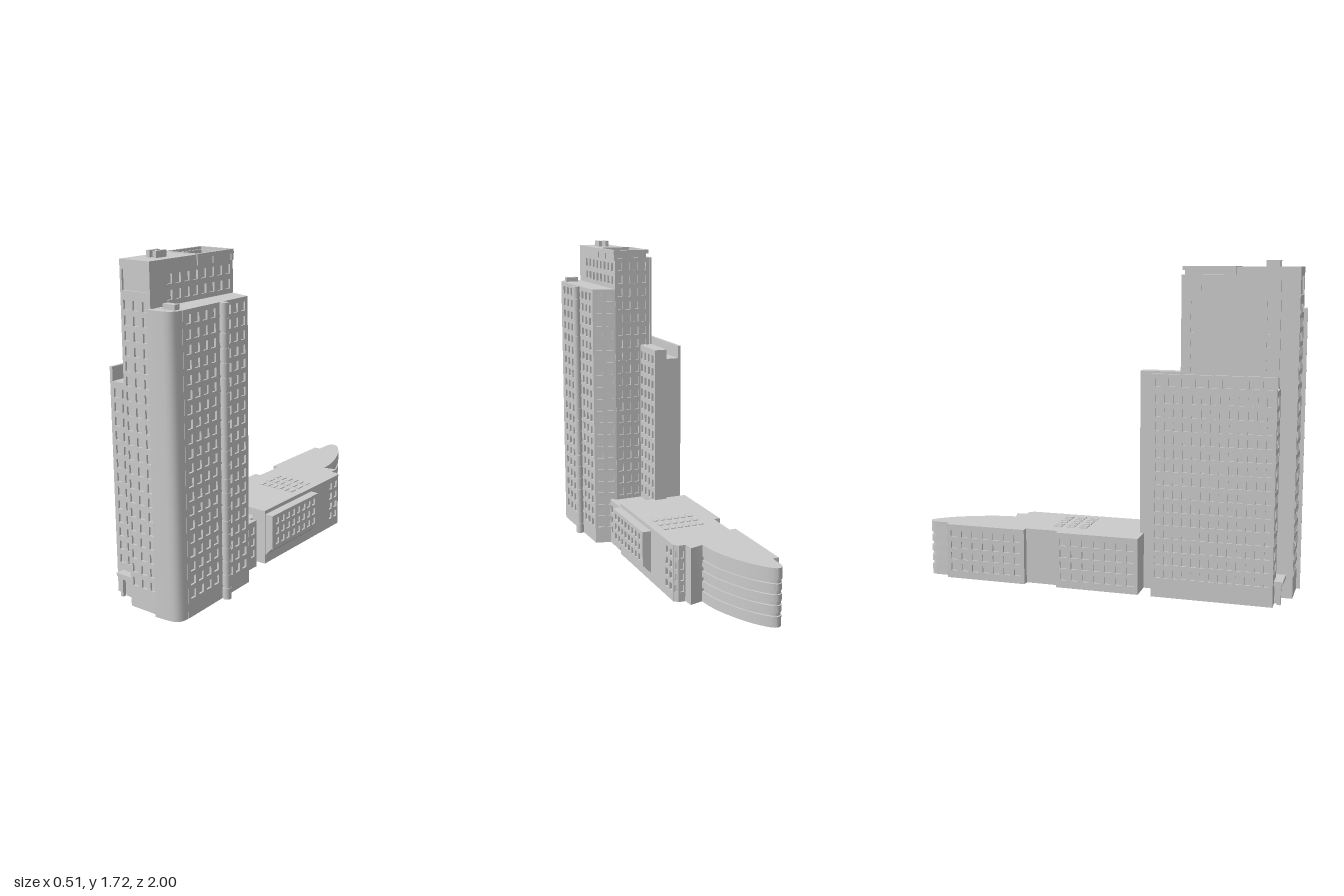
import * as THREE from 'three';
import { toCreasedNormals } from 'three/addons/utils/BufferGeometryUtils.js';

const material = new THREE.MeshStandardMaterial({ color: 0xcccccc });
const T = 0.01; // depth of the window recesses

export function createModel() {
  const model = new THREE.Group();

  function add(name, geometry) {
    const mesh = new THREE.Mesh(geometry, material);
    mesh.name = name;
    model.add(mesh);
    return mesh;
  }

  // Box given by its limits on each axis
  function block(name, x0, x1, y0, y1, z0, z1) {
    add(name, new THREE.BoxGeometry(x1 - x0, y1 - y0, z1 - z0))
      .position.set((x0 + x1) / 2, (y0 + y1) / 2, (z0 + z1) / 2);
  }

  // Upright prism over a plan outline of [x, z] points
  function prism(name, plan, y0, y1) {
    const shape = new THREE.Shape(plan.map(([x, z]) => new THREE.Vector2(x, -z)));
    const geo = new THREE.ExtrudeGeometry(shape, { depth: y1 - y0, bevelEnabled: false });
    geo.rotateX(-Math.PI / 2).translate(0, y0, 0);
    add(name, toCreasedNormals(geo, 0.5));
  }

  // Grid of window openings [x0, y0, x1, y1] in wall coordinates
  function grid(x0, x1, y0, y1, cols, rows, fw = 0.6, fh = 0.62) {
    const out = [];
    const w = (x1 - x0) / cols, h = (y1 - y0) / rows;
    for (let r = 0; r < rows; r++) {
      for (let c = 0; c < cols; c++) {
        const cx = x0 + (c + 0.5) * w, cy = y0 + (r + 0.5) * h;
        out.push([cx - w * fw / 2, cy - h * fh / 2, cx + w * fw / 2, cy + h * fh / 2]);
      }
    }
    return out;
  }

  // Pierced wall plate from plan point a to b, seen from outside with a on the left
  function facade(name, a, b, y0, y1, openings) {
    const dx = b[0] - a[0], dz = b[1] - a[1], len = Math.hypot(dx, dz);
    const rect = (Type, l, d, r, u) => new Type([[l, d], [r, d], [r, u], [l, u]].map(p => new THREE.Vector2(...p)));
    const shape = rect(THREE.Shape, 0, y0, len, y1);
    shape.holes = openings.map(o => rect(THREE.Path, ...o));
    const geo = new THREE.ExtrudeGeometry(shape, { depth: T + 0.002, bevelEnabled: false });
    geo.translate(0, 0, -T - 0.002);
    const mesh = add(name, geo);
    mesh.position.set(a[0], 0, a[1]);
    mesh.rotation.y = Math.atan2(-dz, dx);
  }

  // East tower with one rounded corner
  prism('eastTower', [[0.085, 0.40], [0.2, 0.438], [0.213, 0.9], [0.222, 0.91], [0.222, 0.945],
    [0.217, 0.962], [0.207, 0.976], [0.192, 0.986], [0.17, 0.992], [0.085, 1]], 0, 1.48);
  facade('eastTowerSideWall', [0.224, 0.92], [0.21, 0.43], 0, 1.48,
    [...grid(0.01, 0.25, 0.08, 1.47, 4, 20), ...grid(0.31, 0.48, 0.08, 1.47, 3, 20)]);
  facade('eastTowerRearWall', [0.21, 0.43], [0.088, 0.39], 0, 1.48, grid(0.005, 0.123, 0.08, 1.47, 2, 20));
  block('eastRoofBox', 0.13, 0.2, 1.48, 1.505, 0.91, 0.945);

  // Round stair column with a notch at every floor
  add('stairColumn', new THREE.CylinderGeometry(0.019, 0.019, 1.48, 20)).position.set(0.234, 0.74, 0.64);
  for (let i = 0; i < 21; i++) {
    add('stairColumnRing', new THREE.CylinderGeometry(0.022, 0.022, 0.058, 20))
      .position.set(0.234, 0.03 + i * 0.071, 0.64);
  }

  // Central tower
  block('centralTower', -0.09, 0.08, 0, 1.69, 0.66, 0.97);
  block('centralTowerRear', -0.1, 0.08, 0, 1.65, 0.40, 0.67);
  facade('centralFrontWall', [-0.09, 0.98], [0.09, 0.98], 0, 1.69,
    [...grid(0.005, 0.175, 0.1, 1.52, 3, 20), [0.012, 1.55, 0.162, 1.645]]);
  facade('centralRearWall', [0.09, 0.39], [-0.11, 0.39], 0, 1.65, grid(0.005, 0.195, 0.27, 1.64, 4, 19));
  facade('centralUpperSideWall', [0.09, 0.98], [0.09, 0.39], 1.46, 1.69,
    grid(0.1, 0.58, 1.49, 1.635, 8, 2));
  block('centralWestInfill', -0.12, -0.085, 0, 1.65, 0.40, 0.885);
  block('centralWestEdge', -0.13, -0.09, 0, 1.1, 0.39, 0.89);
  const portholes = [0.035, 0.42].flatMap(x => grid(x, x + 0.045, 1.14, 1.54, 1, 6, 0.4, 0.4));
  facade('centralWestWall', [-0.13, 0.39], [-0.13, 0.89], 1.09, 1.65, [...portholes, [0.1, 1.575, 0.33, 1.6]]);

  // Roof terrace: parapet ring on short brackets
  for (const [x0, x1, z0, z1] of [[-0.11, -0.095, 0.39, 0.66], [0.08, 0.097, 0.39, 0.66],
    [-0.11, 0.097, 0.39, 0.405], [-0.11, 0.097, 0.645, 0.66]]) {
    block('terraceParapet', x0, x1, 1.672, 1.693, z0, z1);
  }
  block('terraceInnerRim', -0.1, -0.085, 1.64, 1.68, 0.4, 0.66);
  block('terraceInnerRim', 0.07, 0.085, 1.64, 1.68, 0.4, 0.66);
  block('terraceInnerRim', -0.1, 0.085, 1.64, 1.68, 0.4, 0.415);
  for (const z of [0.398, 0.535, 0.65]) block('terraceBracket', 0.08, 0.096, 1.64, 1.675, z - 0.008, z + 0.008);
  for (const x of [-0.018, 0.022]) block('roofChimney', x - 0.01, x + 0.01, 1.69, 1.722, 0.8, 0.87);

  // West slab with a tall parapet along its outer face
  block('westSlab', -0.247, -0.1, 0, 1.09, 0.27, 0.89);
  block('westParapetBacking', -0.247, -0.24, 1.08, 1.16, 0.27, 0.9);
  facade('westSlabSideWall', [-0.257, 0.27], [-0.257, 0.9], 0, 1.16,
    [...grid(0.01, 0.62, 0.09, 1.07, 13, 14), ...grid(0.01, 0.62, 1.085, 1.15, 9, 1, 0.75)]);
  facade('westSlabFrontWall', [-0.255, 0.9], [-0.13, 0.9], 0, 1.09, grid(0.01, 0.115, 0.15, 1.07, 2, 13));

  // Entrance canopy
  block('canopy', -0.22, -0.09, 0.108, 0.125, 0.885, 0.945);
  block('canopyBeam', -0.215, -0.09, 0.095, 0.108, 0.885, 0.938);
  block('canopyColumn', -0.207, -0.19, 0, 0.1, 0.915, 0.935);
  block('entranceLobby', -0.187, -0.09, 0, 0.095, 0.885, 0.915);

  // Rear stair block and low annex
  block('rearBlock', -0.13, -0.07, 0, 1.16, 0.178, 0.42);
  facade('rearBlockSideWall', [-0.06, 0.4], [-0.06, 0.178], 0, 1.16, grid(0.01, 0.215, 0.28, 1.14, 4, 12));
  prism('annex', [[-0.07, 0.2], [0.06, 0.2], [0.085, 0.23], [0.085, 0.262], [0.115, 0.255],
    [0.115, 0.43], [-0.07, 0.43]], 0, 0.26);
  facade('annexSideWall', [0.125, 0.41], [0.125, 0.25], 0, 0.26, grid(0.01, 0.15, 0.05, 0.24, 3, 3));

  // Podium body
  prism('podium', [[-0.22, 0.2], [0.13, 0.2], [0.13, -0.525], [0.115, -0.535], [0.085, -0.535],
    [0.08, -0.60], [0.01, -0.58], [-0.22, -0.58]], 0, 0.3);
  facade('podiumSideWall', [0.142, 0.2], [0.142, -0.525], 0, 0.3, grid(0.62, 0.72, 0.04, 0.28, 2, 4));
  facade('podiumCornerWall', [0.142, -0.522], [0.12, -0.545], 0, 0.3, grid(0.004, 0.028, 0.04, 0.28, 1, 4));
  facade('podiumNotchWall', [0.122, -0.545], [0.085, -0.545], 0, 0.3, grid(0.004, 0.035, 0.04, 0.28, 1, 4));
  for (const [z0, z1] of [[-0.88, -0.43], [-0.25, 0.2]]) {
    block('podiumWestBay', -0.245, -0.2, 0, 0.3, z0, z1);
    facade('podiumWestBayWall', [-0.255, z0], [-0.255, z1], 0, 0.3, grid(0.01, 0.44, 0.03, 0.28, 7, 4));
  }

  // Curved end of the podium, with thin recessed window bands
  function bowPlan(inset) {
    const curve = new THREE.CatmullRomCurve3([[0.01, -0.57], [-0.005, -0.68], [-0.045, -0.8], [-0.1, -0.91],
      [-0.165, -0.99], [-0.19, -1], [-0.213, -0.987], [-0.22, -0.96]].map(([x, z]) => new THREE.Vector3(x, 0, z)));
    const pts = curve.getPoints(28).map(p => [p.x - inset * (p.x > -0.17 ? 1 : 0), p.z + inset * (p.z < -0.9 ? 1 : 0)]);
    return [[-0.22, -0.5], [0.01 - inset, -0.5], ...pts];
  }
  const levels = [0, 0.055, 0.075, 0.11, 0.13, 0.165, 0.185, 0.22, 0.24, 0.3];
  for (let i = 0; i < levels.length - 1; i++) {
    const band = i % 2 === 1;
    prism(band ? 'bowWindowBand' : 'bowWall', bowPlan(band ? 0.008 : 0), levels[i], levels[i + 1]);
  }

  // Projecting east bay with a sloped underside
  const bay = new THREE.Shape([[0.12, 0.045], [0.14, 0.045], [0.18, 0.09], [0.18, 0.28], [0.12, 0.28]]
    .map(p => new THREE.Vector2(...p)));
  add('podiumEastBay', new THREE.ExtrudeGeometry(bay, { depth: 0.435, bevelEnabled: false })).position.z = -0.24;
  facade('podiumEastBayWall', [0.19, 0.195], [0.19, -0.24], 0.09, 0.28, grid(0.02, 0.415, 0.1, 0.27, 8, 3));

  // Rows of roof lights
  for (let r = 0; r < 3; r++) {
    for (let c = 0; c < 6; c++) {
      const x = -0.12 + c * 0.04, z = -0.28 + r * 0.07;
      block('roofLight', x - 0.013, x + 0.013, 0.295, 0.304, z - 0.022, z + 0.022);
    }
  }
  return model;
}
